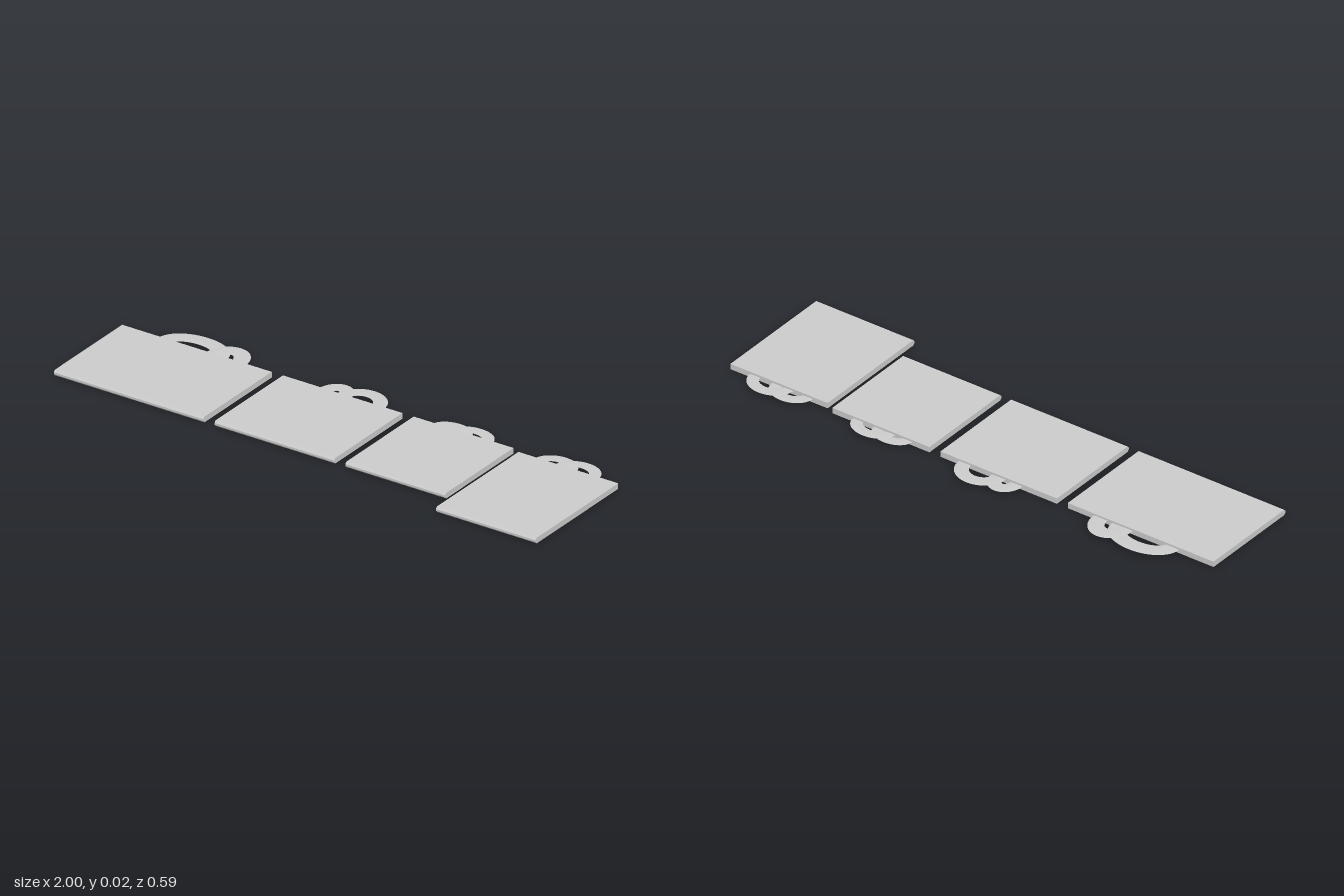
import * as THREE from 'three';

const material = new THREE.MeshStandardMaterial({ color: 0xcccccc });
const THICK = 0.021;

// Flat plate: side profile with a chamfered front edge, extruded along x
function plate(x0, x1, back, front) {
  const c = 0.007;
  const profile = new THREE.Shape([
    [-front, c], [-front + c, 0], [-back, 0],
    [-back, THICK], [-front + c, THICK], [-front, THICK - c],
  ].map(([a, b]) => new THREE.Vector2(a, b)));
  const geo = new THREE.ExtrudeGeometry(profile, { depth: x1 - x0, bevelEnabled: false });
  geo.rotateY(Math.PI / 2).translate(x0, 0, 0);
  const mesh = new THREE.Mesh(geo, material);
  mesh.name = 'plate';
  return mesh;
}

// Flattened cord arching out behind a plate
function cordLoop(x0, x1, tip, back, r, y) {
  const rx = (x1 - x0) / 2 - r, rz = back - tip - r, cx = (x0 + x1) / 2;
  const points = [new THREE.Vector3(cx - rx, 0, back + 0.03)];
  for (let i = 0; i <= 10; i++) {
    const a = Math.PI * i / 10;
    points.push(new THREE.Vector3(cx - rx * Math.cos(a), 0, back - rz * Math.sin(a)));
  }
  points.push(new THREE.Vector3(cx + rx, 0, back + 0.03));
  const geo = new THREE.TubeGeometry(new THREE.CatmullRomCurve3(points), 40, r, 10);
  geo.scale(1, 0.04, 1).translate(0, y, 0);
  const mesh = new THREE.Mesh(geo, material);
  mesh.name = 'cordLoop';
  return mesh;
}

export function createModel() {
  const model = new THREE.Group();
  model.name = 'plateRow';
  // Plate extents, cord radius, then each loop as [left, right, tip]
  const units = [
    { x: [-1, -0.4], z: [-0.2, 0.2], r: 0.03, loops: [[-0.86, -0.58, -0.297], [-0.67, -0.505, -0.296]] },
    { x: [-0.355, 0.125], z: [-0.2, 0.2], r: 0.026, loops: [[-0.215, -0.085, -0.275], [-0.145, 0.05, -0.291]] },
    { x: [0.17, 0.57], z: [-0.2, 0.2], r: 0.022, loops: [[0.24, 0.4, -0.257], [0.31, 0.485, -0.266]] },
    { x: [0.6, 1], z: [-0.186, 0.297], r: 0.022, loops: [[0.66, 0.83, -0.255], [0.74, 0.92, -0.262]] },
  ];
  units.forEach(({ x, z, r, loops }) => {
    const unit = new THREE.Group();
    unit.name = 'hangingPlate';
    unit.add(plate(x[0], x[1], z[0], z[1]));
    loops.forEach(([a, b, tip], i) => unit.add(cordLoop(a, b, tip, z[0], r, 0.0125 + i * 0.0006)));
    model.add(unit);
  });
  return model;
}
